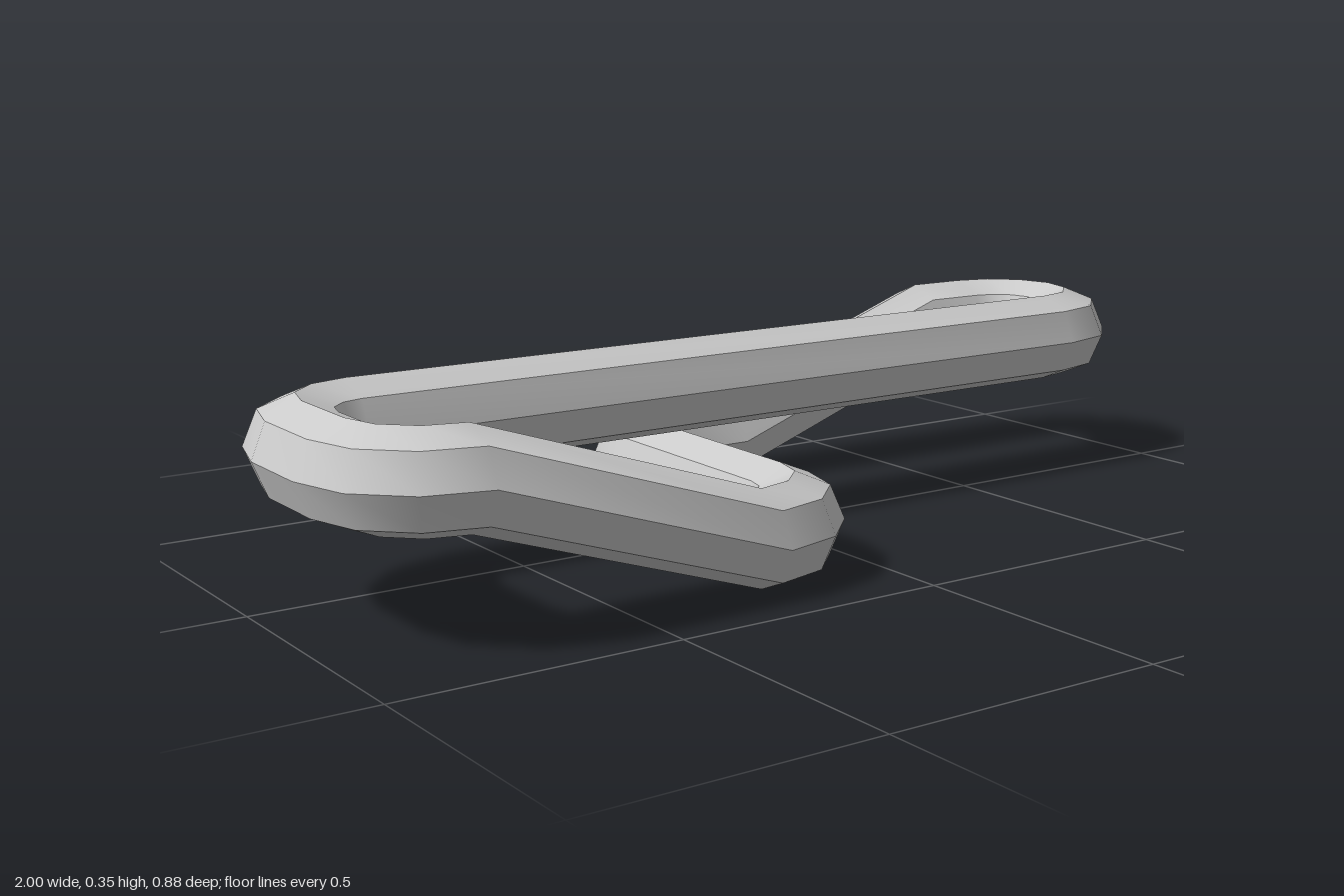
import * as THREE from 'three';
import { toCreasedNormals } from 'three/addons/utils/BufferGeometryUtils.js';

const LOW = 0.0865, HIGH = 0.2635; // centre heights of the two levels
const BEND = 0.137;                // bend radius of the centre line
const ROD = 0.0862;                // radius of the octagonal section
const SIDES = 8;

// Centre line as stations: position plus horizontal section direction
function centreLine() {
  const stations = [];
  const add = (x, y, z, nx, nz) => stations.push({ x, y, z, nx, nz });
  const arc = (cx, cz, from, to, y) => {
    const steps = Math.abs(to - from) / 30, s = Math.sign(to - from);
    for (let i = 0; i <= steps; i++) {
      const a = THREE.MathUtils.degToRad(from + s * 30 * i);
      const c = Math.cos(a), d = Math.sin(a);
      add(cx + BEND * c, y, cz + BEND * d, s * c, s * d);
    }
  };
  arc(-0.778, 0.056, 270, 180, HIGH);   // left loop, end corners
  arc(-0.778, 0.214, 180, 90, HIGH);
  arc(-0.247, 0.214, 90, 0, LOW);       // foot of the descending bar
  arc(0.03, -0.216, 180, 270, LOW);     // far end of the cross bar
  add(0.16, LOW, -0.216 - BEND, 0, -1); // rise to the right loop
  add(0.66, HIGH, -0.216 - BEND, 0, -1);
  arc(0.778, -0.213, -90, 90, HIGH);    // rounded right end
  return stations;
}

// Sweep the octagon along the closed line, keeping sections upright
function sweep(stations) {
  const positions = [], index = [];
  const n = stations.length;
  stations.forEach(({ x, y, z, nx, nz }, i) => {
    const next = ((i + 1) % n) * SIDES;
    for (let j = 0; j < SIDES; j++) {
      const a = (j / SIDES) * Math.PI * 2;
      const r = ROD * Math.cos(a);
      positions.push(x + nx * r, y + ROD * Math.sin(a), z + nz * r);
      const k = (j + 1) % SIDES, here = i * SIDES;
      index.push(here + j, here + k, next + k, here + j, next + k, next + j);
    }
  });
  const geometry = new THREE.BufferGeometry();
  geometry.setAttribute('position', new THREE.Float32BufferAttribute(positions, 3));
  geometry.setIndex(index);
  return toCreasedNormals(geometry, 0.6);
}

export function createModel() {
  const group = new THREE.Group();
  group.name = 'bentLink';
  const rod = new THREE.Mesh(
    sweep(centreLine()),
    new THREE.MeshStandardMaterial({ color: 0xcccccc })
  );
  rod.name = 'loopedRod';
  group.add(rod);
  return group;
}
